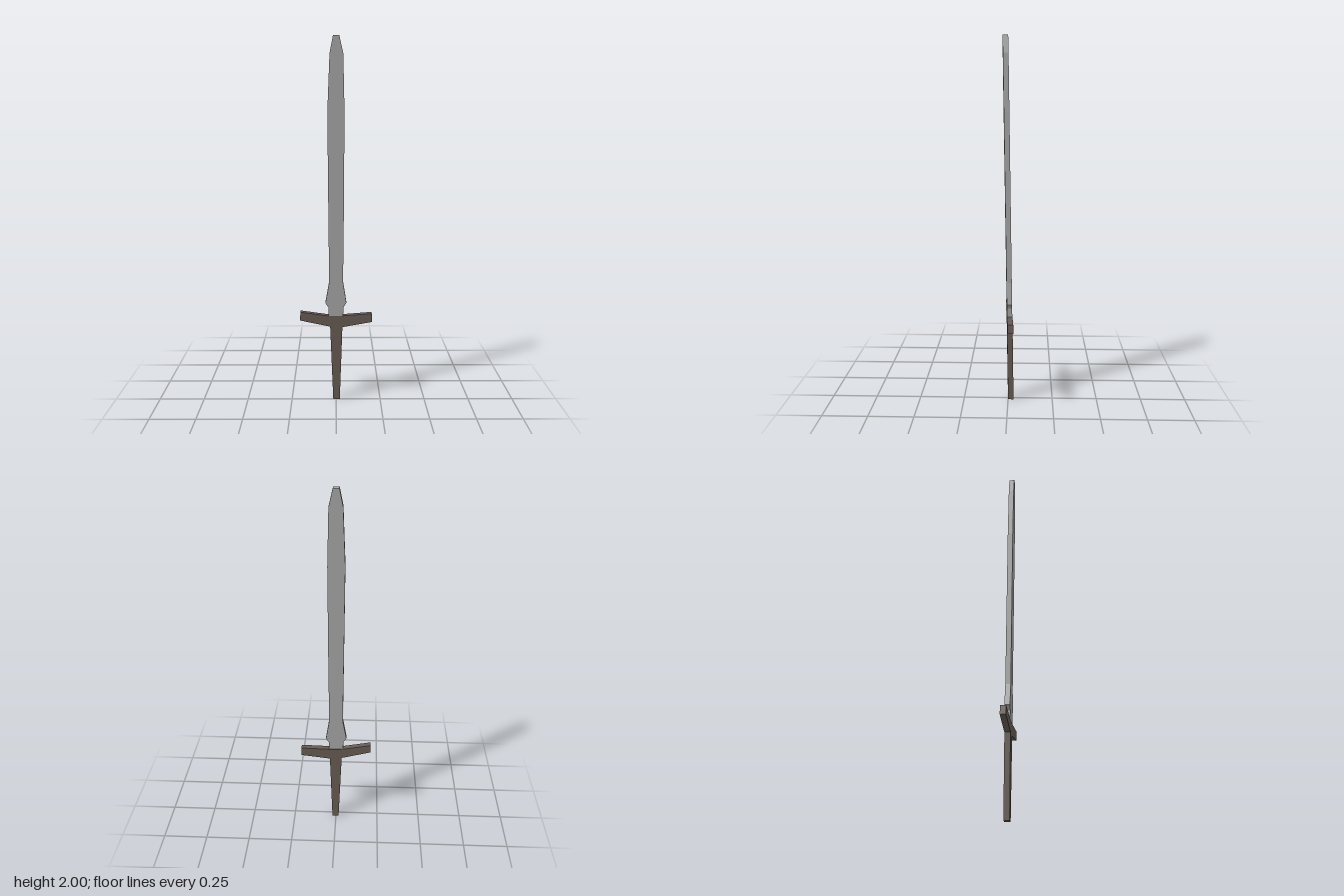
import * as THREE from 'three';

const steel = new THREE.MeshStandardMaterial({ color: 0xa6a6a6 });
steel.name = 'steel grey';
const leather = new THREE.MeshStandardMaterial({ color: 0x685c54 });
leather.name = 'dark brown';

// Extrudes an outline, then leans and turns it slightly by shearing along z
function slab(name, outline, depth, material) {
  const shape = new THREE.Shape(outline.map(([x, y]) => new THREE.Vector2(x, y)));
  let geometry = new THREE.ExtrudeGeometry(shape, { depth, bevelEnabled: false });
  geometry.translate(0, 0, -depth / 2);
  const p = geometry.attributes.position;
  for (let i = 0; i < p.count; i++) {
    p.setZ(i, p.getZ(i) + 0.0145 * (p.getY(i) - 1) - 0.05 * p.getX(i));
  }
  geometry.computeVertexNormals();
  const mesh = new THREE.Mesh(geometry, material);
  mesh.name = name;
  return mesh;
}

export function createModel() {
  const group = new THREE.Group();
  group.name = 'sword';

  // Blade: blunt tip, gentle waist and a flared base
  group.add(slab('blade', [
    [-0.041, 0.496], [0.039, 0.496], [0.041, 0.545], [0.057, 0.57],
    [0.038, 0.69], [0.041, 1.0], [0.044, 1.61], [0.037, 1.91], [0.016, 2.0],
    [-0.016, 2.0], [-0.034, 1.91], [-0.046, 1.61], [-0.041, 1.0],
    [-0.038, 0.69], [-0.059, 0.57], [-0.042, 0.545],
  ], 0.029, steel));

  // Crossguard: two arms rising outward
  group.add(slab('crossguard', [
    [-0.033, 0.434], [0.035, 0.43], [0.2, 0.457], [0.198, 0.506],
    [0.04, 0.496], [-0.04, 0.496], [-0.197, 0.521], [-0.2, 0.473],
  ], 0.031, leather));

  // Grip: tapers down to the end
  group.add(slab('grip', [
    [-0.016, 0], [0.021, 0], [0.035, 0.43], [-0.033, 0.434],
  ], 0.031, leather));

  return group;
}
